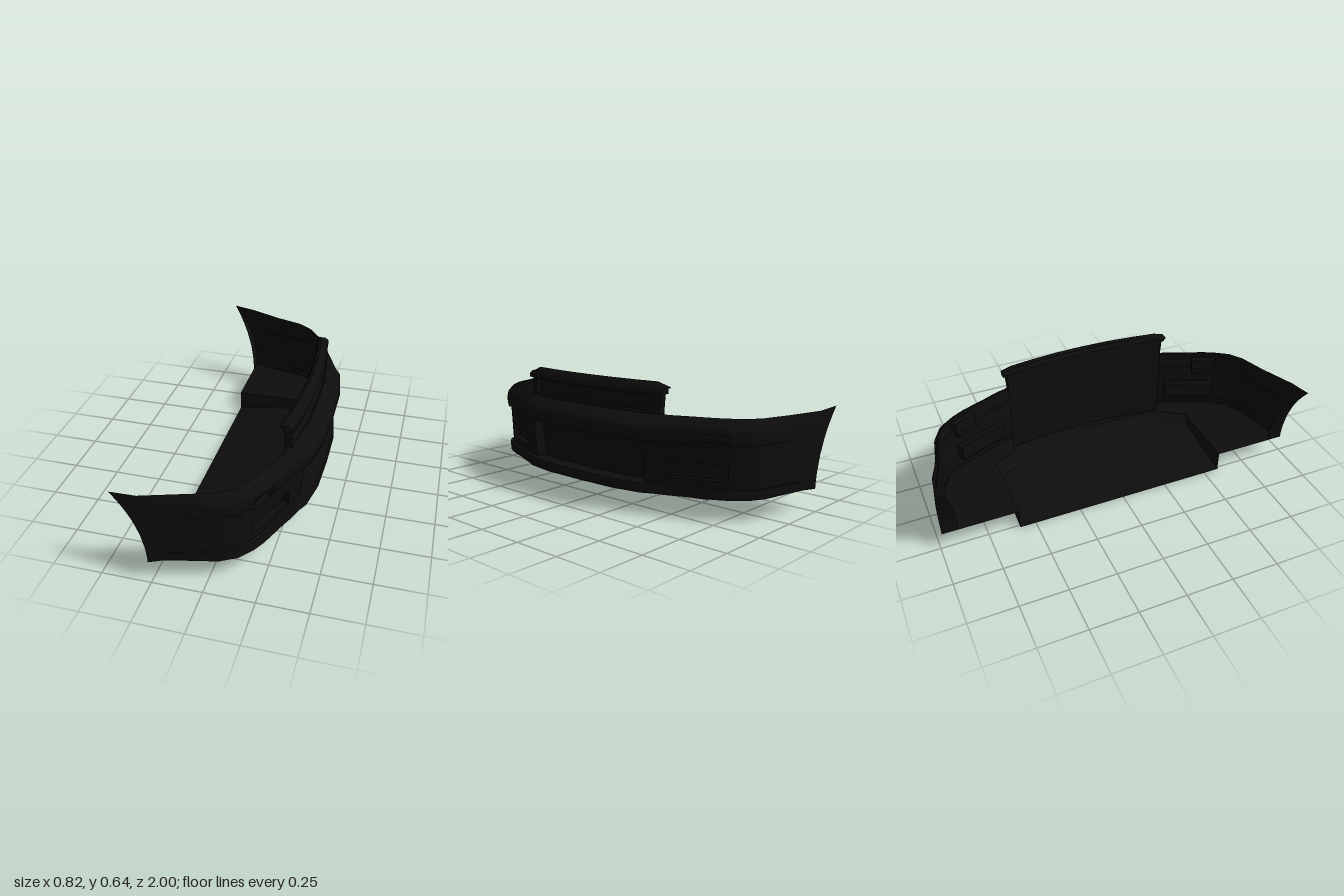
import * as THREE from 'three';
import { toCreasedNormals } from 'three/addons/utils/BufferGeometryUtils.js';

const plastic = new THREE.MeshStandardMaterial({ color: 0x0d0d0d, side: THREE.DoubleSide });
plastic.name = 'black plastic';

// Surface from a grid of points; point(i, j, depth), cells with depth > 0 become pockets
function gridGeometry(nu, nv, point, depthOf = () => 0) {
  const pos = [];
  const quad = (a, b, c, d) => {
    for (const p of [a, b, c, a, c, d]) pos.push(...p);
  };
  for (let i = 0; i < nu - 1; i++) {
    for (let j = 0; j < nv - 1; j++) {
      const d = depthOf(i, j);
      const corners = [[i, j], [i + 1, j], [i + 1, j + 1], [i, j + 1]];
      quad(...corners.map(([u, v]) => point(u, v, d)));
      if (!d) continue;
      const next = [[i, j - 1], [i + 1, j], [i, j + 1], [i - 1, j]];
      next.forEach(([u, v], k) => {
        if (depthOf(u, v)) return;
        const a = corners[k], b = corners[(k + 1) % 4];
        quad(point(...a, 0), point(...b, 0), point(...b, d), point(...a, d));
      });
    }
  }
  const g = new THREE.BufferGeometry();
  g.setAttribute('position', new THREE.Float32BufferAttribute(pos, 3));
  return toCreasedNormals(g, 0.6);
}

// Half plan of the bumper from the middle to the wheel arch: z, x, strength of the profile
const HALF = [
  [0, 0.41, 1], [0.23, 0.405, 1], [0.4, 0.375, 1], [0.45, 0.345, 0.8], [0.52, 0.315, 0.6],
  [0.6, 0.28, 0.6], [0.665, 0.255, 0.6], [0.73, 0.228, 0.6], [0.79, 0.195, 0.6], [0.86, 0.135, 0.5],
  [0.905, 0.05, 0.4], [0.935, -0.1, 0.2], [0.955, -0.2, 0], [0.985, -0.265, 0],
];
// Vertical profile: y, inset from the plan outline
const ROWS = [
  [0.11, 0.02], [0.145, 0.02], [0.155, 0.026], [0.157, 0.055], [0.195, 0.051], [0.275, 0.044],
  [0.345, 0.037], [0.365, 0.035], [0.367, 0.012], [0.4, 0], [0.42, 0], [0.435, 0],
  [0.45, 0.01], [0.475, 0.05], [0.49, 0.085],
];
const last = HALF.length - 1;
const archBend = (y) => Math.pow((y - 0.11) / 0.38, 2.3);

function shellPoint(i, j, depth) {
  const k = Math.abs(i - last), side = i < last ? -1 : 1;
  const [z, x, w] = HALF[k];
  const [y, inset] = ROWS[j];
  const t = (y - 0.11) / 0.38;
  // rear columns follow the curved wheel arch
  if (k === last) return [x - 0.145 * archBend(y), y + 0.015 * t * t, side * (z + 0.015 * t)];
  if (k === last - 1) return [x - 0.087 * archBend(y), y + 0.005 * t * t, side * (z + 0.03 * t)];
  const a = k ? HALF[k - 1] : [-HALF[1][0], HALF[1][1]], b = HALF[k + 1];
  const len = Math.hypot(b[0] - a[0], b[1] - a[1]);
  const nx = (b[0] - a[0]) / len, nz = -(b[1] - a[1]) / len;
  const off = inset * w + depth;
  return [x - nx * off, y, side * (z - nz * off)];
}

// Lower opening and the two lamp pockets on each side
function shellDepth(i, j) {
  const zm = Math.abs(i + 0.5 - last);
  const k = Math.floor(zm);
  if (k < 2 && j >= 3 && j < 7) return 0.055;
  if (k >= 4 && k < 8 && j === 4) return 0.035;
  if (k >= 6 && k < 8 && j >= 6 && j < 10) return 0.035;
  return 0;
}

// Upper grille with its curled lip and the panel behind it: x, y
const GRILLE = [
  [0.325, 0.488], [0.322, 0.505], [0.316, 0.575], [0.315, 0.585], [0.327, 0.585], [0.325, 0.605],
  [0.308, 0.63], [0.29, 0.64], [0.275, 0.633], [0.264, 0.61], [0.285, 0.605], [0.285, 0.11],
];
const GRILLE_Z = [-0.45, -0.45, -0.42, -0.3, -0.15, 0, 0.15, 0.3, 0.42, 0.45, 0.45];

function grillePoint(i, j, depth) {
  const z = GRILLE_Z[i];
  let [x, y] = GRILLE[j];
  let zz = z;
  const end = Math.abs(z) > 0.44;
  if (end && j >= 4 && j <= 9) {
    zz = Math.sign(z) * 0.472;
    y = Math.min(y, 0.618);
  } else if (end && j >= 2 && j < 4) zz = Math.sign(z) * 0.456;
  // outermost columns fold back to close the ends
  if (i === 0 || i === GRILLE_Z.length - 1) x = 0.285;
  return [x - 0.038 * (z / 0.45) ** 2 - depth, y, zz];
}

// Sunken tray under the floor: plan outline at its rim and at its base
const RIM = [[-0.265, -0.585], [0.14, -0.585], [0.25, -0.4], [0.25, 0.4], [0.14, 0.585], [-0.265, 0.585]];
const BASE = [[-0.265, -0.585], [0.08, -0.585], [0.18, -0.4], [0.18, 0.4], [0.08, 0.585], [-0.265, 0.585]];
const trayY = (x) => (x + 0.265) * 0.146;

function flatShape(points) {
  const g = new THREE.ShapeGeometry(new THREE.Shape(points.map(([x, z]) => new THREE.Vector2(x, z))));
  return g.rotateX(Math.PI / 2);
}

export function createModel() {
  const group = new THREE.Group();
  const add = (name, geometry) => {
    const m = new THREE.Mesh(geometry, plastic);
    m.name = name;
    group.add(m);
  };

  add('bumperShell', gridGeometry(2 * last + 1, ROWS.length, shellPoint, shellDepth));
  add('upperGrille', gridGeometry(GRILLE_Z.length, GRILLE.length, grillePoint,
    (i, j) => (i >= 2 && i < 8 && j >= 1 && j < 2 ? 0.028 : 0)));

  // Inward flanges along the wheel arches
  for (const side of [-1, 1]) {
    add(side > 0 ? 'leftArchFlange' : 'rightArchFlange', gridGeometry(2, ROWS.length, (i, j) => {
      const p = shellPoint(side > 0 ? 2 * last : 0, j, 0);
      return i ? [p[0], p[1], side * (0.9 + 0.1 * archBend(ROWS[j][0]))] : p;
    }));
  }

  // Floor between the shell and the tray rim
  const edge = [];
  for (let i = 0; i <= 2 * last; i++) {
    const p = shellPoint(i, 0, 0);
    edge.push([p[0], p[2]]);
  }
  add('floor', flatShape([...edge, ...[...RIM].reverse()]).translate(0, 0.11, 0));

  // Tray walls and sloping base
  add('trayWall', gridGeometry(RIM.length, 2, (i, j) => {
    const [x, z] = j ? BASE[i] : RIM[i];
    return [x, j ? trayY(x) : 0.11, z];
  }));
  const base = flatShape(BASE);
  const p = base.attributes.position;
  for (let i = 0; i < p.count; i++) p.setY(i, trayY(p.getX(i)));
  base.computeVertexNormals();
  add('trayBase', base);

  return group;
}
